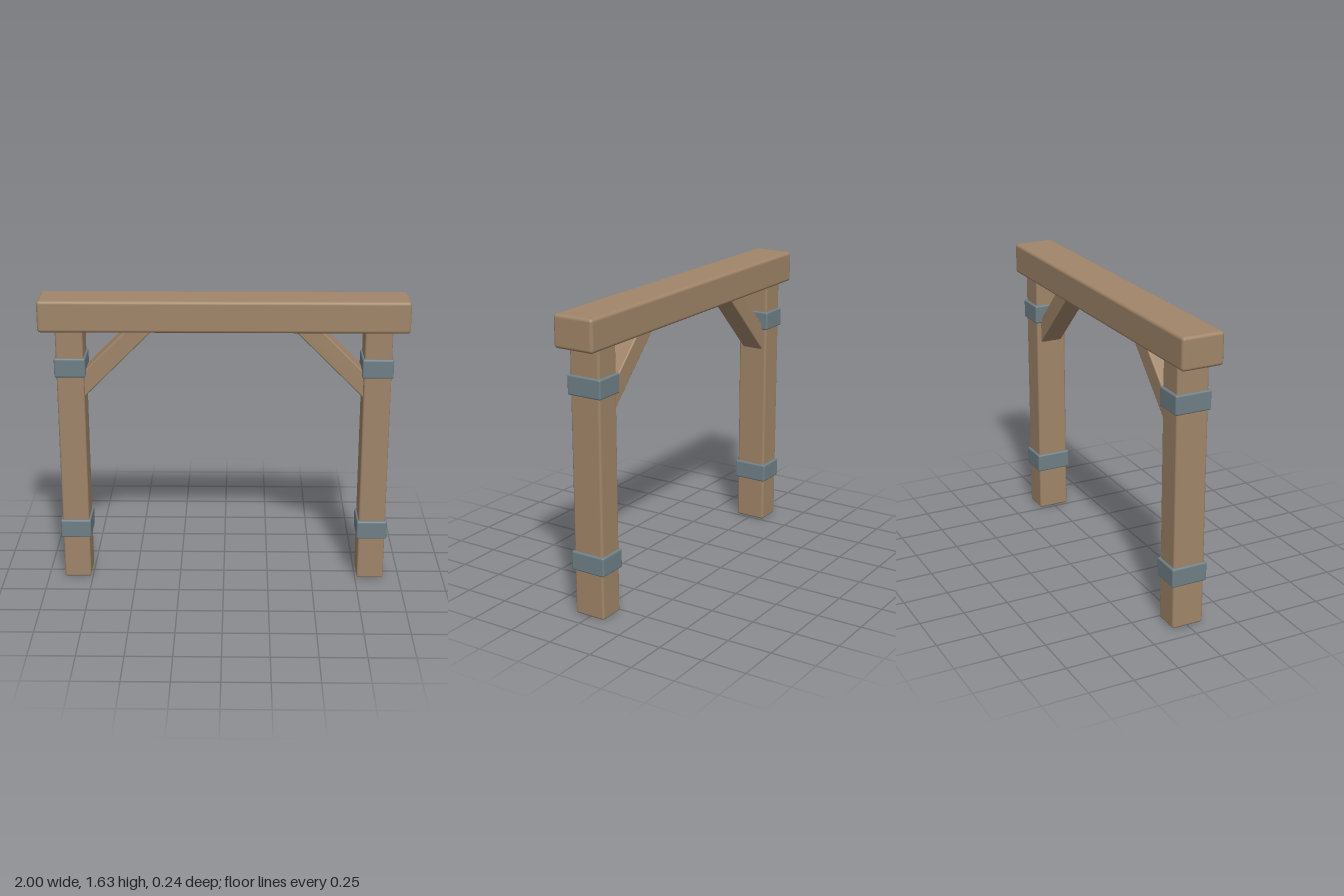
import * as THREE from 'three';
import { RoundedBoxGeometry } from 'three/addons/geometries/RoundedBoxGeometry.js';

export function createModel() {
  const group = new THREE.Group();
  const wood = new THREE.MeshStandardMaterial({ color: 0xa08569 });
  wood.name = 'wood';
  const metal = new THREE.MeshStandardMaterial({ color: 0x6f8087 });
  metal.name = 'metal';

  // Soft-edged block of size [w, h, d] centred on [x, y, z]
  const block = (name, material, [w, h, d], [x, y, z], radius) => {
    const mesh = new THREE.Mesh(new RoundedBoxGeometry(w, h, d, 3, radius), material);
    mesh.name = name;
    mesh.position.set(x, y, z);
    group.add(mesh);
    return mesh;
  };

  // Lintel across the top
  block('topBeam', wood, [2, 0.175, 0.236], [0, 1.5475, 0], 0.018);

  for (const [side, s] of [['left', 1], ['right', -1]]) {
    // Upright, running up into the beam
    block(`${side}Post`, wood, [0.15, 1.49, 0.18], [s * 0.835, 0.745, 0], 0.013);

    // Metal straps around the post
    block(`${side}LowerBand`, metal, [0.17, 0.107, 0.204], [s * 0.835, 0.303, 0], 0.01);
    block(`${side}UpperBand`, metal, [0.17, 0.107, 0.204], [s * 0.835, 1.257, 0], 0.01);

    // Diagonal brace, its ends buried in post and beam
    const brace = block(`${side}Brace`, wood, [0.622, 0.104, 0.13], [s * 0.61, 1.307, 0], 0.008);
    brace.rotation.z = -s * Math.PI / 4;
  }
  return group;
}
